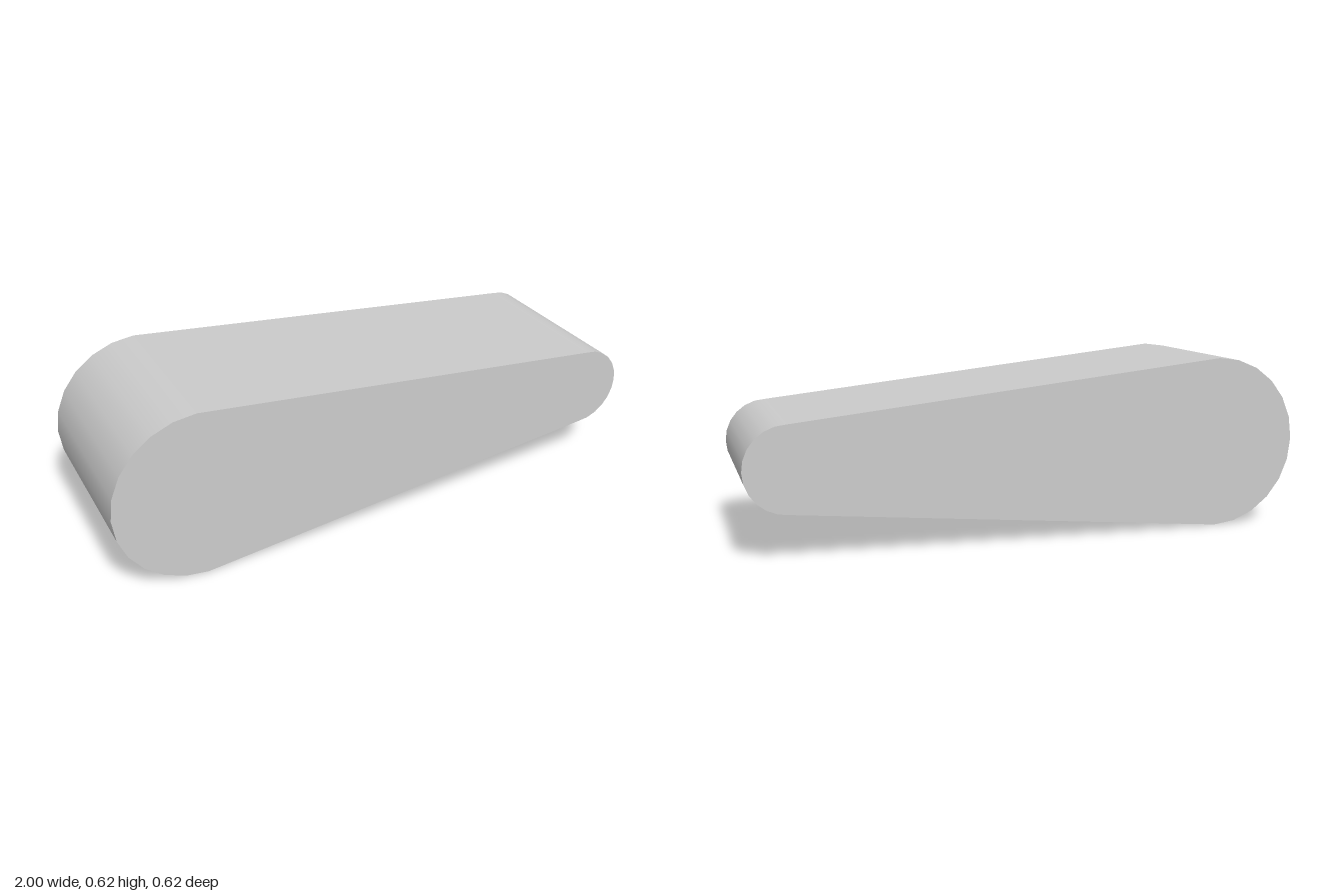
import * as THREE from 'three';

const ends = { big: { x: -0.692, r: 0.308 }, small: { x: 0.852, r: 0.148 } };
const midY = 0.308, depth = 0.616, steps = 12;

// Half circle of points, counter-clockwise from the start angle
function arc({ x, r }, start) {
  return Array.from({ length: steps + 1 }, (_, i) => {
    const a = start + (i / steps) * Math.PI;
    return new THREE.Vector2(x + r * Math.cos(a), midY + r * Math.sin(a));
  });
}

// Round the normals of the two curved ends; flat sides and caps stay crisp
function smoothEnds(geometry) {
  const p = geometry.attributes.position, n = geometry.attributes.normal;
  for (let i = 0; i < p.count; i += 3) {
    const xs = [p.getX(i), p.getX(i + 1), p.getX(i + 2)];
    const spansBody = Math.max(...xs) - Math.min(...xs) > 1;
    if (spansBody || Math.abs(n.getZ(i)) > 0.5) continue;
    const end = xs[0] < 0 ? ends.big : ends.small;
    for (let k = i; k < i + 3; k++) {
      n.setXYZ(k, (p.getX(k) - end.x) / end.r, (p.getY(k) - midY) / end.r, 0);
    }
  }
}

export function createModel() {
  const group = new THREE.Group();
  group.name = 'taperedLink';

  // Tapered body with a large and a small rounded end
  const outline = new THREE.Shape([
    ...arc(ends.small, -Math.PI / 2),
    ...arc(ends.big, Math.PI / 2),
  ]);
  const geometry = new THREE.ExtrudeGeometry(outline, { depth, bevelEnabled: false });
  geometry.translate(0, 0, -depth / 2);
  smoothEnds(geometry);

  const body = new THREE.Mesh(geometry, new THREE.MeshStandardMaterial({ color: 0xcccccc }));
  body.name = 'taperedBody';
  group.add(body);
  return group;
}
